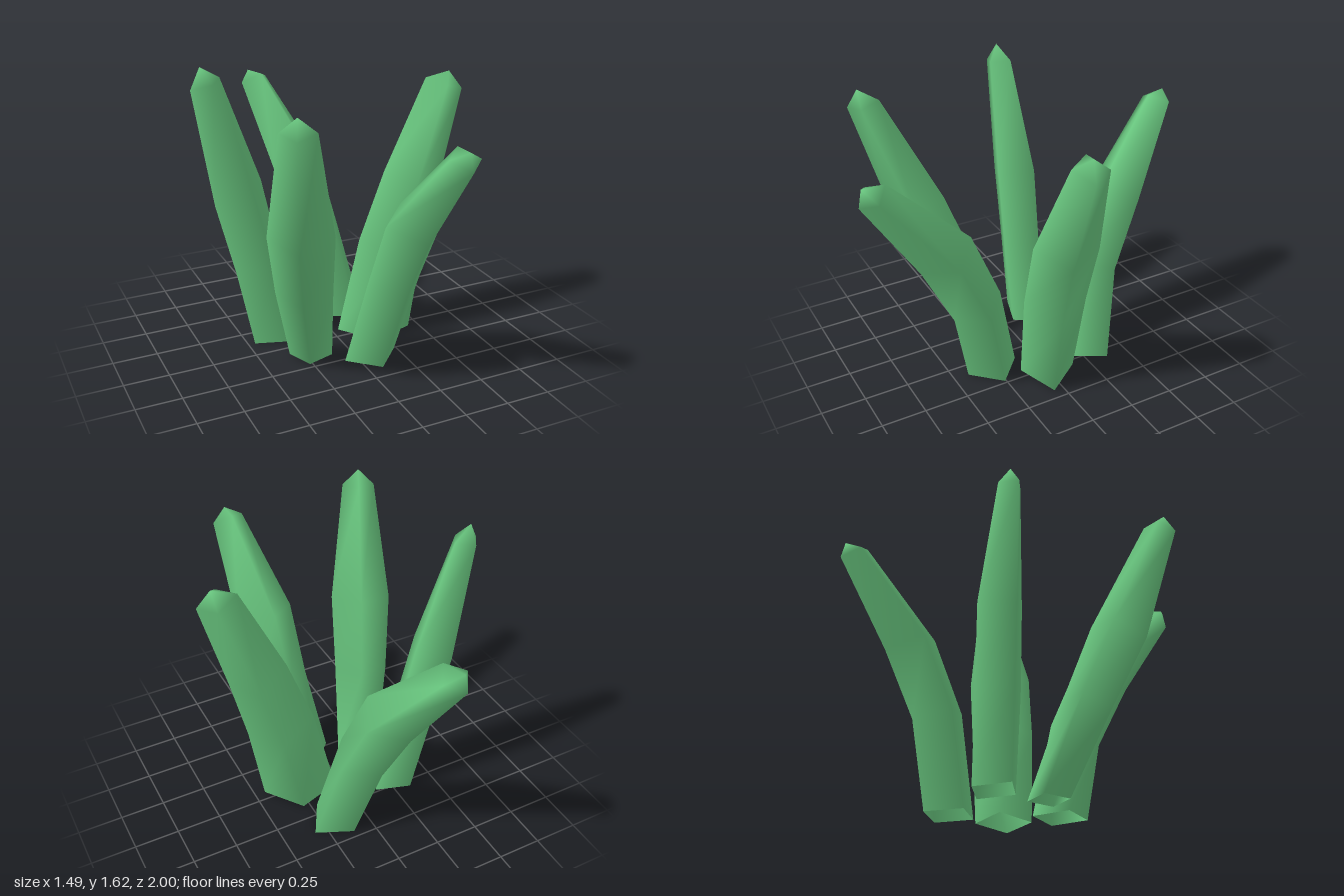
import * as THREE from 'three';

// Each leaf: heading of its outer ridge, rings [x, y, z, depth, width, tilt] from base up, and a tip.
const LEAVES = [
  { name: 'frontLeaf', heading: 0.03, tip: [0.21, 1.385, 0.98], rings: [
    [0.08, 0, 0.262, 0.152, 0.155, 0], [0.16, 0.505, 0.38, 0.14, 0.16, 0.32],
    [0.173, 0.885, 0.555, 0.145, 0.168, 0.45], [0.213, 1.337, 0.93, 0.07, 0.09, 0.66]] },
  { name: 'backLeaf', heading: -2.82, tip: [-0.145, 1.385, -0.98], rings: [
    [0.168, 0, -0.32, 0.148, 0.16, 0], [0.058, 0.505, -0.415, 0.147, 0.163, 0.3],
    [0.002, 0.885, -0.585, 0.147, 0.169, 0.43], [-0.128, 1.337, -0.928, 0.076, 0.091, 0.62]] },
  { name: 'leftLeaf', heading: 1.255, tip: [0.675, 1.51, 0.01], rings: [
    [0.24, 0, -0.01, 0.21, 0.152, 0], [0.34, 0.525, 0.003, 0.184, 0.17, 0.22],
    [0.455, 0.915, 0.01, 0.155, 0.174, 0.3], [0.647, 1.443, 0.006, 0.103, 0.096, 0.33]] },
  { name: 'rightBackLeaf', heading: -1.235, tip: [-0.685, 1.62, -0.19], rings: [
    [-0.305, 0, -0.18, 0.165, 0.125, 0], [-0.405, 0.48, -0.185, 0.154, 0.133, 0.2],
    [-0.5, 0.905, -0.2, 0.16, 0.132, 0.25], [-0.66, 1.53, -0.19, 0.094, 0.068, 0.22]] },
  { name: 'rightFrontLeaf', heading: -0.45, tip: [-0.525, 1.57, 0.715], rings: [
    [-0.218, 0, 0.118, 0.109, 0.119, 0], [-0.33, 0.49, 0.3, 0.128, 0.152, 0.25],
    [-0.41, 0.88, 0.46, 0.145, 0.17, 0.3], [-0.512, 1.49, 0.69, 0.085, 0.09, 0.23]] },
];

// Four-sided tapering spike, open at the base
function leafGeometry({ heading, rings, tip }) {
  const pos = [], index = [];
  const lean = new THREE.Vector2(tip[0] - rings[0][0], tip[2] - rings[0][2]).normalize();
  for (const [x, y, z, depth, width, tilt] of rings) {
    for (let i = 0; i < 4; i++) {
      const t = heading + i * Math.PI / 2, r = i % 2 ? width : depth;
      const dx = Math.sin(t) * r, dz = Math.cos(t) * r;
      // rings tip over in the direction the leaf leans
      pos.push(x + dx, y - tilt * (dx * lean.x + dz * lean.y), z + dz);
    }
  }
  pos.push(...tip);
  const last = rings.length - 1, apex = rings.length * 4;
  for (let i = 0; i < 4; i++) {
    const j = (i + 1) % 4;
    for (let k = 0; k < last; k++) {
      const a = k * 4 + i, b = k * 4 + j;
      index.push(a, b, b + 4, a, b + 4, a + 4);
    }
    index.push(last * 4 + i, last * 4 + j, apex);
  }
  const geo = new THREE.BufferGeometry();
  geo.setAttribute('position', new THREE.Float32BufferAttribute(pos, 3));
  geo.setIndex(index);
  geo.computeVertexNormals();
  return geo;
}

export function createModel() {
  const group = new THREE.Group();
  group.name = 'leafCluster';
  const green = new THREE.MeshStandardMaterial({ color: 0x68c57e, side: THREE.DoubleSide });
  green.name = 'leafGreen';
  for (const leaf of LEAVES) {
    const mesh = new THREE.Mesh(leafGeometry(leaf), green);
    mesh.name = leaf.name;
    group.add(mesh);
  }
  return group;
}
